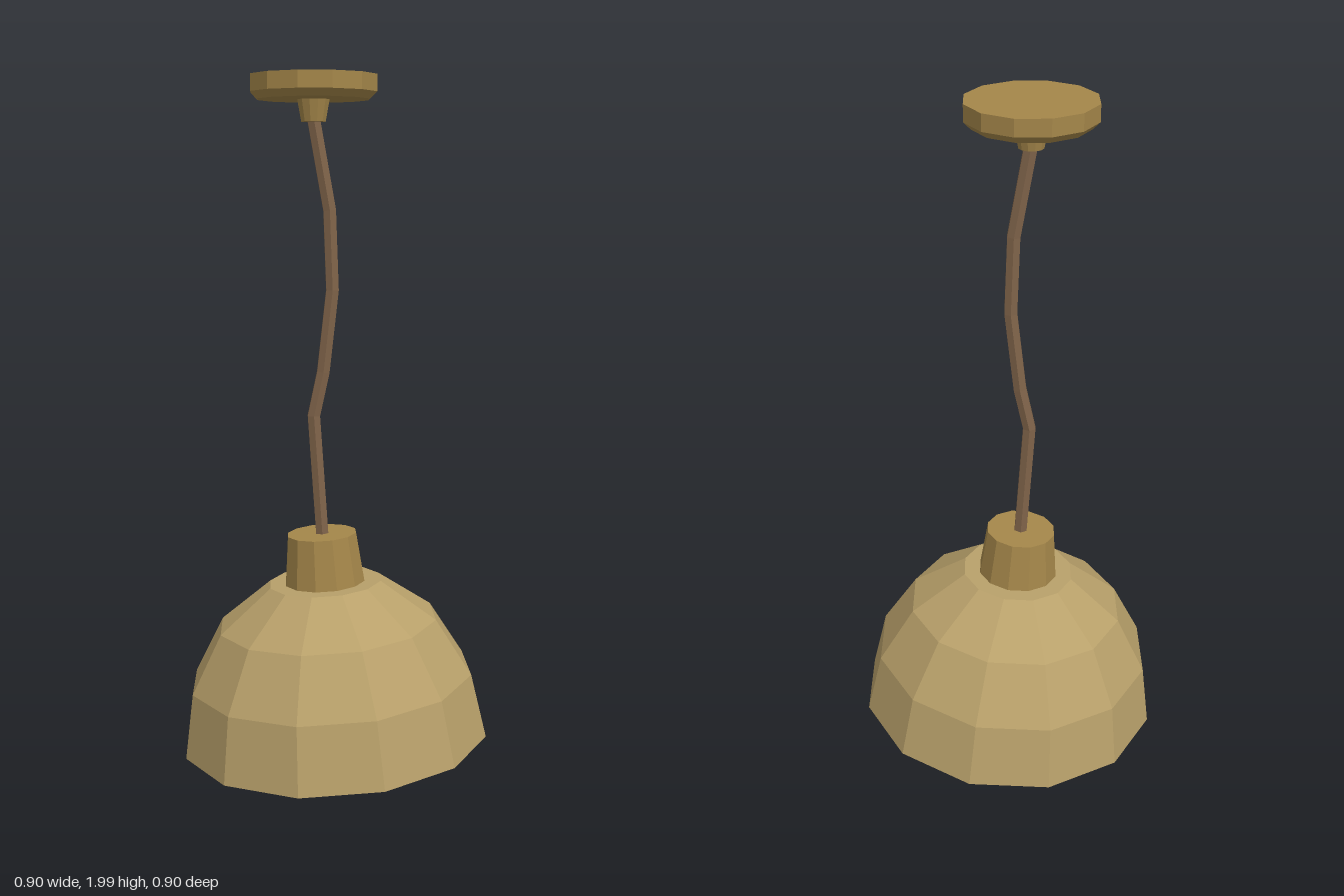
import * as THREE from 'three';

const SIDES = 12;
const material = (color, side = THREE.FrontSide) =>
  new THREE.MeshStandardMaterial({ color, side, flatShading: true });

// Twelve-sided turned part; the profile is [radius, height] pairs
function turned(name, profile, mat) {
  const points = profile.map(([r, y]) => new THREE.Vector2(r, y));
  const mesh = new THREE.Mesh(new THREE.LatheGeometry(points, SIDES, Math.PI / SIDES), mat);
  mesh.name = name;
  return mesh;
}

// Straight-segment path whose samples land exactly on the corners
class Polyline extends THREE.Curve {
  constructor(points) {
    super();
    this.points = points;
  }
  getPoint(t, target = new THREE.Vector3()) {
    const n = this.points.length - 1;
    const i = Math.min(Math.floor(t * n), n - 1);
    return target.lerpVectors(this.points[i], this.points[i + 1], t * n - i);
  }
  getPointAt(t, target) { return this.getPoint(t, target); }
  getTangentAt(t, target) { return this.getTangent(t, target); }
}

export function createModel() {
  const lamp = new THREE.Group();
  lamp.name = 'pendantLamp';
  const brass = material(0xa5874a);
  const paleBrass = material(0xb8a06a);
  const lining = material(0xcccccc);
  const brown = material(0x80644a);

  // Ceiling mount with chamfered lower edge, and the cord grip below it
  const mount = new THREE.Group();
  mount.name = 'ceilingMount';
  mount.position.x = -0.064;
  mount.add(
    turned('canopy', [[0, 1.932], [0.165, 1.932], [0.185, 1.952], [0.185, 2], [0, 2]], brass),
    turned('cordGrip', [[0, 1.87], [0.036, 1.87], [0.048, 1.935]], brass),
  );
  lamp.add(mount);

  // Kinked cord
  const path = new Polyline([
    [-0.064, 1.88], [-0.018, 1.62], [-0.01, 1.39], [-0.037, 1.15], [-0.065, 1.02], [-0.04, 0.65],
  ].map(([x, y]) => new THREE.Vector3(x, y, 0)));
  const cord = new THREE.Mesh(new THREE.TubeGeometry(path, 5, 0.021, 6), brown);
  cord.name = 'cord';
  lamp.add(cord);

  // Shade and socket, tilted together
  const head = new THREE.Group();
  head.name = 'lampHead';
  head.position.set(-0.003, 0.033, 0);
  head.rotation.z = 0.0614;
  head.add(
    turned('shade', [[0.465, 0], [0.43, 0.193], [0.332, 0.363], [0.171, 0.483], [0, 0.483]], paleBrass),
    turned('shadeLining',
      [[0, 0.445], [0.145, 0.445], [0.29, 0.335], [0.38, 0.18], [0.41, 0], [0.465, 0]], lining),
    turned('socket', [[0.122, 0.48], [0.105, 0.632], [0, 0.632]], brass),
  );
  lamp.add(head);

  return lamp;
}
